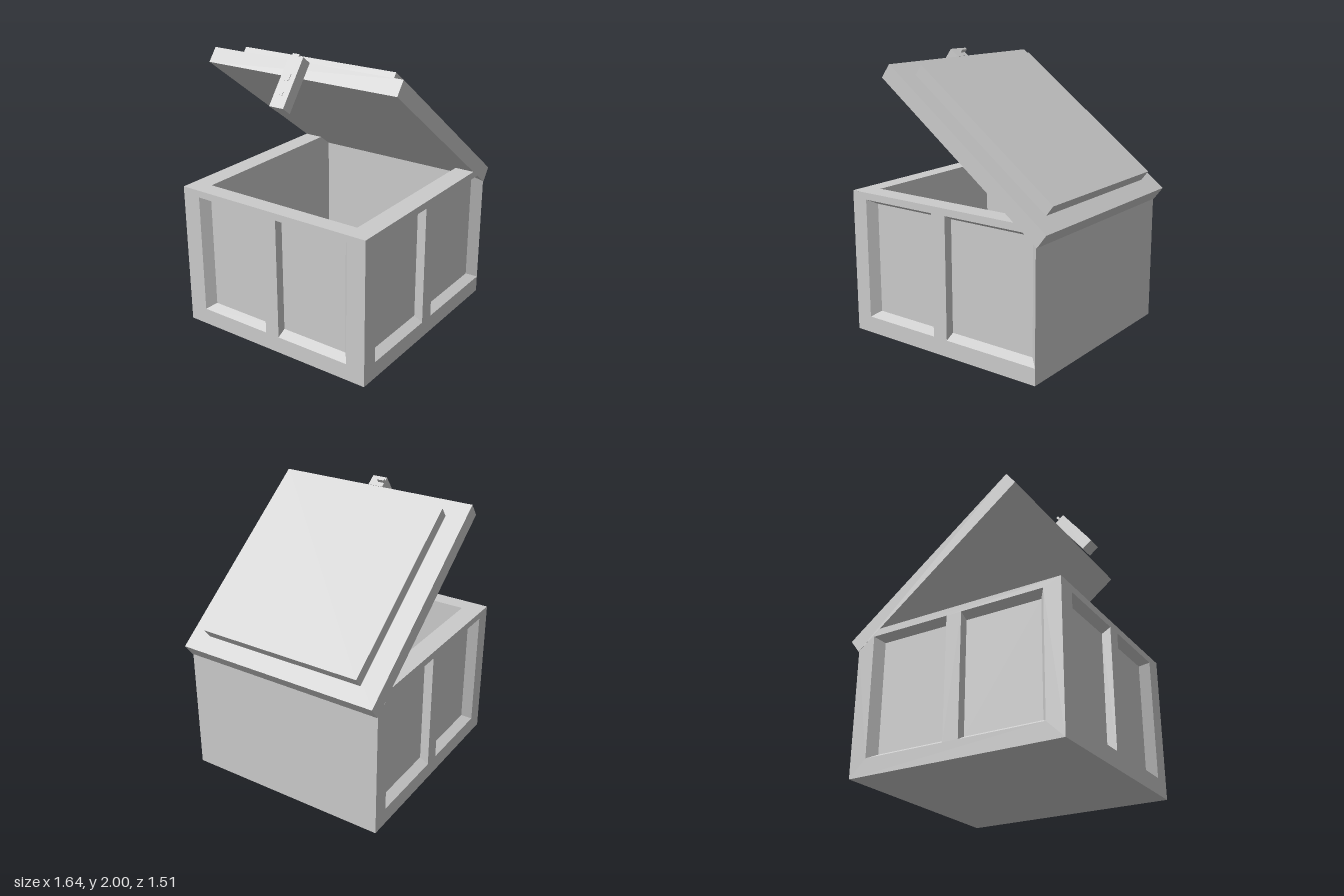
import * as THREE from 'three';

const material = new THREE.MeshStandardMaterial({ color: 0xcccccc, flatShading: true, side: THREE.DoubleSide });

// Body extents, inner cavity, and panel measures
const X0 = -0.825, X1 = 0.745, Z = 0.755, H = 1.04;
const IX0 = -0.70, IX1 = 0.68, IZ = 0.61, FLOOR = 0.12;
const P0 = 0.12, P1 = 0.99, DEPTH = 0.065, SLOPE_Y = 0.035;

function mesh(name, geometry, parent) {
  const m = new THREE.Mesh(geometry, material);
  m.name = name;
  parent.add(m);
  return m;
}

// Flat faces from a list of four-corner loops
function quads(list) {
  const pos = [];
  for (const q of list) for (const i of [0, 1, 2, 0, 2, 3]) pos.push(...q[i]);
  const g = new THREE.BufferGeometry();
  g.setAttribute('position', new THREE.Float32BufferAttribute(pos, 3));
  g.computeVertexNormals();
  return g;
}

const polygon = (pts) => pts.map(([x, y]) => new THREE.Vector2(x, y));

const corners = (x0, x1, y0, y1, z) => [[x0, y0, z], [x1, y0, z], [x1, y1, z], [x0, y1, z]];

// Sunken panel with sloped sides, facing +z
function recess(x0, x1, slopeLeft, slopeRight) {
  const o = corners(x0, x1, P0, P1, 0);
  const i = corners(x0 + slopeLeft, x1 - slopeRight, P0 + SLOPE_Y, P1 - SLOPE_Y, -DEPTH);
  const sides = o.map((c, k) => [c, o[(k + 1) % 4], i[(k + 1) % 4], i[k]]);
  return quads([...sides, i]);
}

// Framed wall in its own xy plane; panels listed in "holes" are cut out of the outline
function panelWall(name, outline, holes, panels) {
  const wall = new THREE.Group();
  wall.name = name;
  const shape = new THREE.Shape(polygon(outline));
  for (const [a, b] of holes) {
    shape.holes.push(new THREE.Path(polygon([[a, P0], [a, P1], [b, P1], [b, P0]])));
  }
  mesh('wallFrame', new THREE.ShapeGeometry(shape), wall);
  for (const p of panels) mesh('sunkenPanel', recess(...p), wall);
  return wall;
}

function createBody() {
  const body = new THREE.Group();
  body.name = 'body';

  // Front: second panel runs out to the corner; top corner is cut for the lid
  const front = panelWall('frontWall',
    [[X0, 0], [X1, 0], [X1, P0], [0.02, P0], [0.02, P1], [0.643, P1], [0.58, H], [X0, H]],
    [[-0.70, -0.095]],
    [[-0.70, -0.095, 0.05, 0], [0.02, X1, 0, 0.065]]);
  front.position.z = Z;

  // Back: two equal panels
  const back = panelWall('backWall',
    [[-X1, 0], [-X0, 0], [-X0, H], [-0.58, H], [-X1, 0.91]],
    [[-0.62, -0.02], [0.095, 0.70]],
    [[-0.62, -0.02, 0.05, 0], [0.095, 0.70, 0, 0.05]]);
  back.rotation.y = Math.PI;
  back.position.z = -Z;

  // Latch side: two equal panels
  const side = panelWall('latchSideWall',
    [[-Z, 0], [Z, 0], [Z, H], [-Z, H]],
    [[-0.615, -0.055], [0.055, 0.615]],
    [[-0.615, -0.055, 0.05, 0], [0.055, 0.615, 0, 0.05]]);
  side.rotation.y = -Math.PI / 2;
  side.position.x = X0;
  body.add(front, back, side);

  // Plain hinge side and underside
  mesh('hingeSideWall', quads([[[X1, 0, Z], [X1, 0, -Z], [X1, 0.91, -Z], [X1, 0.91, Z]]]), body);
  mesh('underside', quads([[[X0, 0, -Z], [X1, 0, -Z], [X1, 0, Z], [X0, 0, Z]]]), body);

  // Rim and hollow inside
  const ring = (x0, x1, z, y) => [[x0, y, z], [x1, y, z], [x1, y, -z], [x0, y, -z]];
  const outer = ring(X0, X1, Z - 0.0005, H), inner = ring(IX0, IX1, IZ, H), floor = ring(IX0, IX1, IZ, FLOOR);
  const strip = (a, b) => a.map((c, k) => [c, a[(k + 1) % 4], b[(k + 1) % 4], b[k]]);
  mesh('rim', quads(strip(outer, inner)), body);
  mesh('cavity', quads([...strip(inner, floor), floor]), body);
  return body;
}

// Lid frame: u runs from the hinge edge to the latch edge, n points out of the lid top
function createLid() {
  const lid = new THREE.Group();
  lid.name = 'lid';
  const block = (name, u0, u1, n0, n1, z0, z1) => {
    const m = mesh(name, new THREE.BoxGeometry(u1 - u0, n1 - n0, z1 - z0), lid);
    m.position.set(-(u0 + u1) / 2, (n0 + n1) / 2, (z0 + z1) / 2);
  };
  block('lidSlab', 0, 1.57, -0.114, 0, -Z, Z);
  block('raisedLidPanel', 0.125, 1.445, -0.002, 0.084, -IZ, IZ);

  // Latch tongue with its small fittings
  block('latch', 1.57, 1.653, -0.356, 0.002, -0.057, 0.055);
  block('latchBlade', 1.605, 1.622, 0, 0.03, -0.06, -0.008);
  block('latchStud', 1.65, 1.657, -0.17, -0.12, -0.015, 0.015);
  block('latchStud', 1.65, 1.657, -0.27, -0.245, -0.01, 0.01);

  lid.position.set(0.82, 1.0, 0);
  lid.rotation.z = -Math.atan2(0.945, 1.255);
  return lid;
}

export function createModel() {
  const model = new THREE.Group();
  model.name = 'openChest';
  model.add(createBody(), createLid());
  return model;
}
